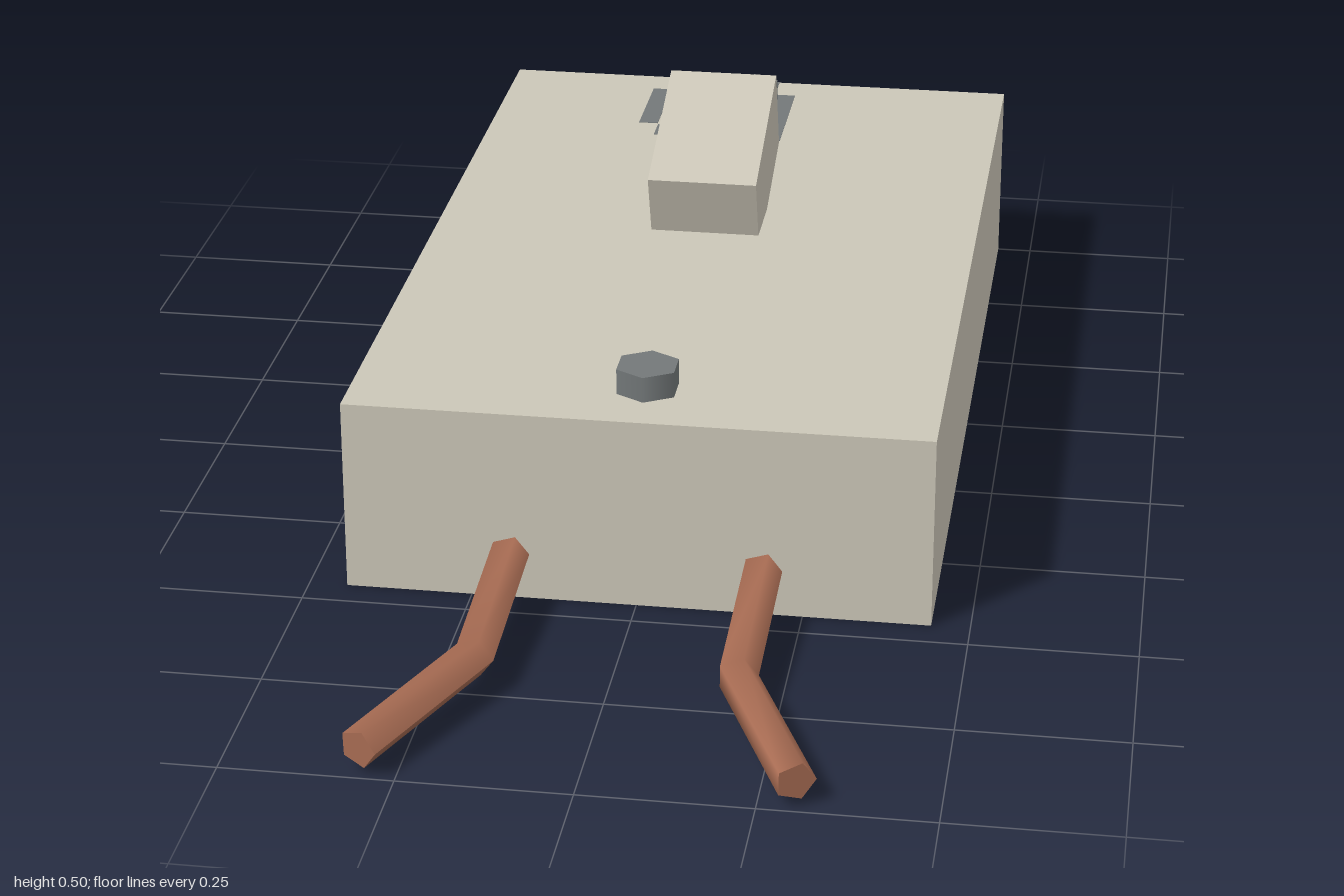
import * as THREE from 'three';

const RADIUS = 0.03;

// Five-sided wire following three points, mitred at the bend
function wireGeometry(points) {
  const geo = new THREE.CylinderGeometry(RADIUS, RADIUS, 2, 5, 2, false, Math.PI / 2);
  const dirs = [0, 1].map(i => points[i + 1].clone().sub(points[i]).normalize());
  const tangents = [dirs[0], dirs[0].clone().add(dirs[1]).normalize(), dirs[1]];
  const up = new THREE.Vector3(0, 1, 0);
  const rings = tangents.map((t, i) => {
    const right = up.clone().cross(t).normalize();
    const down = right.clone().cross(t);
    right.multiplyScalar(i === 1 ? 1 / t.dot(dirs[0]) : 1);
    return { centre: points[i], right, down };
  });
  const pos = geo.attributes.position;
  const v = new THREE.Vector3();
  for (let i = 0; i < pos.count; i++) {
    const ring = rings[Math.round(pos.getY(i) + 1)];
    v.copy(ring.centre)
      .addScaledVector(ring.right, pos.getX(i))
      .addScaledVector(ring.down, pos.getZ(i));
    pos.setXYZ(i, v.x, v.y, v.z);
  }
  geo.computeVertexNormals();
  return geo;
}

export function createModel() {
  const model = new THREE.Group();
  model.name = 'wallSwitch';

  const ivory = new THREE.MeshStandardMaterial({ name: 'ivory', color: 0xcbc6b7 });
  const steel = new THREE.MeshStandardMaterial({ name: 'steel grey', color: 0x737879 });
  const copper = new THREE.MeshStandardMaterial({ name: 'copper', color: 0xa86c53 });

  const add = (name, geometry, material, x = 0, y = 0, z = 0) => {
    const mesh = new THREE.Mesh(geometry, material);
    mesh.name = name;
    mesh.position.set(x, y, z);
    model.add(mesh);
    return mesh;
  };

  // Switch body
  const top = 0.302;
  add('body', new THREE.BoxGeometry(0.884, top, 1.45), ivory, 0, top / 2, -0.275);

  // Tilted toggle
  const toggle = add('toggle', new THREE.BoxGeometry(0.177, 0.147, 0.277), ivory, 0, 0.3825, -0.4);
  toggle.rotation.x = THREE.MathUtils.degToRad(20);

  // Hexagonal screws
  const screw = new THREE.CylinderGeometry(0.05, 0.05, 0.06, 6);
  for (const [name, z] of [['frontScrew', 0.33], ['backScrew', -0.88]]) {
    add(name, screw, steel, 0, 0.312, z);
  }

  // Thin surface strips behind the toggle: x, z start, z end, width
  const strips = [
    [-0.168, -0.935, -0.765, 0.033], [-0.095, -0.935, -0.765, 0.033],
    [-0.132, -1, -0.945, 0.036], [-0.132, -0.76, -0.71, 0.036],
    [0, -1, -0.935, 0.072],
    [-0.018, -0.84, -0.71, 0.036], [0.055, -0.935, -0.71, 0.033],
  ];
  for (const [x, z0, z1, width] of strips) {
    add('markStrip', new THREE.BoxGeometry(width, 0.002, z1 - z0), steel, x, top, (z0 + z1) / 2);
  }

  // Pair of splayed copper wires
  for (const [name, side] of [['leftWire', 1], ['rightWire', -1]]) {
    const points = [
      new THREE.Vector3(side * 0.19, 0.077, 0.457),
      new THREE.Vector3(side * 0.19, 0.053, 0.735),
      new THREE.Vector3(side * 0.303, 0.039, 0.987),
    ];
    add(name, wireGeometry(points), copper);
  }

  return model;
}
